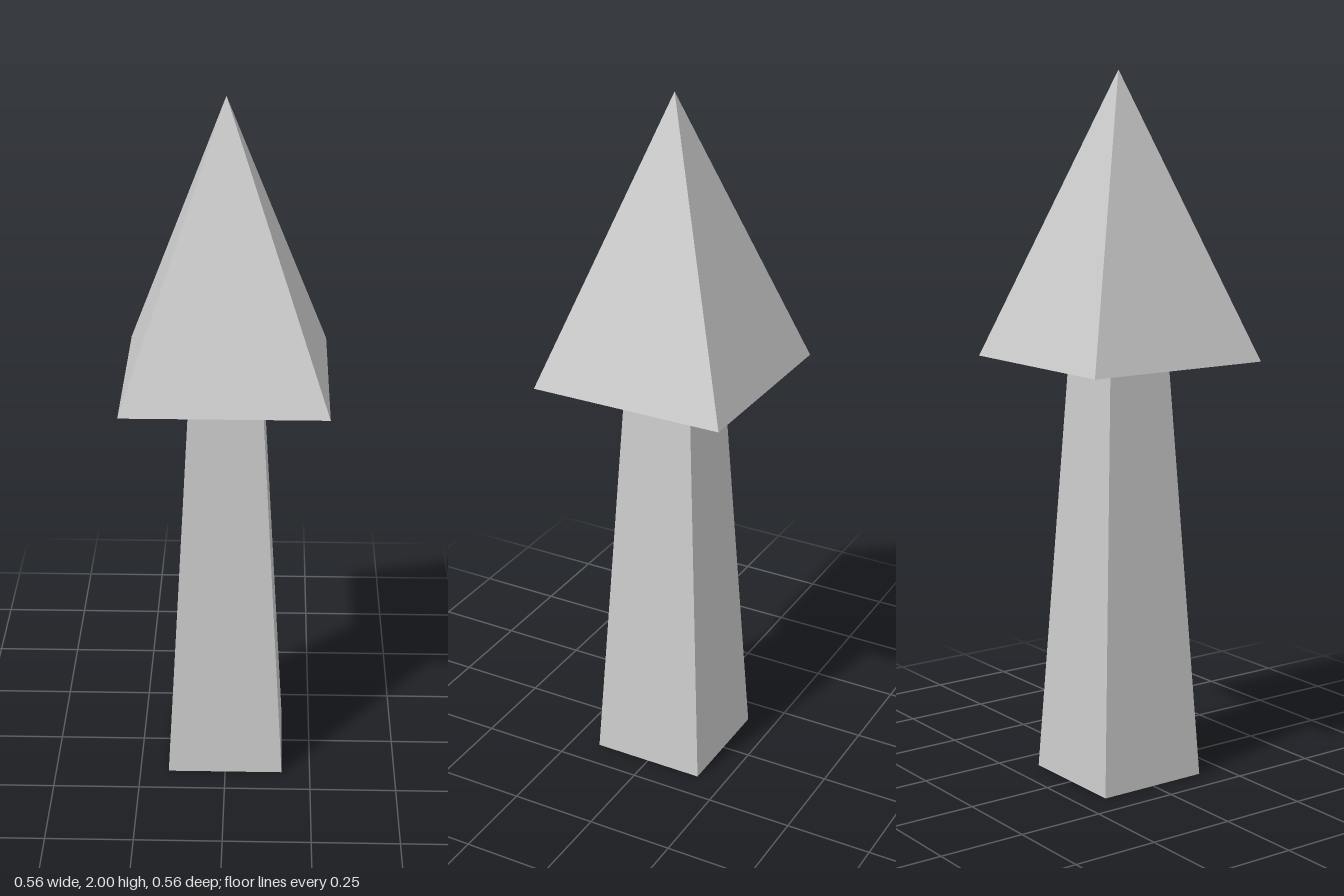
import * as THREE from 'three';

const material = new THREE.MeshStandardMaterial({ color: 0xcccccc, flatShading: true });

// Square frustum aligned with the axes, given half widths and its bottom and top heights
function squareTaper(name, halfTop, halfBottom, y0, y1) {
  const geometry = halfTop > 0
    ? new THREE.CylinderGeometry(halfTop * Math.SQRT2, halfBottom * Math.SQRT2, y1 - y0, 4)
    : new THREE.ConeGeometry(halfBottom * Math.SQRT2, y1 - y0, 4);
  geometry.rotateY(Math.PI / 4);
  geometry.translate(0, (y0 + y1) / 2, 0);
  const mesh = new THREE.Mesh(geometry, material);
  mesh.name = name;
  return mesh;
}

export function createModel() {
  const group = new THREE.Group();
  group.name = 'pyramidTree';
  const crownBase = 1.205;
  // Tapered square trunk
  group.add(squareTaper('trunk', 0.1, 0.167, 0, crownBase));
  // Four-sided pointed crown
  group.add(squareTaper('crown', 0, 0.282, crownBase, 2));
  return group;
}
